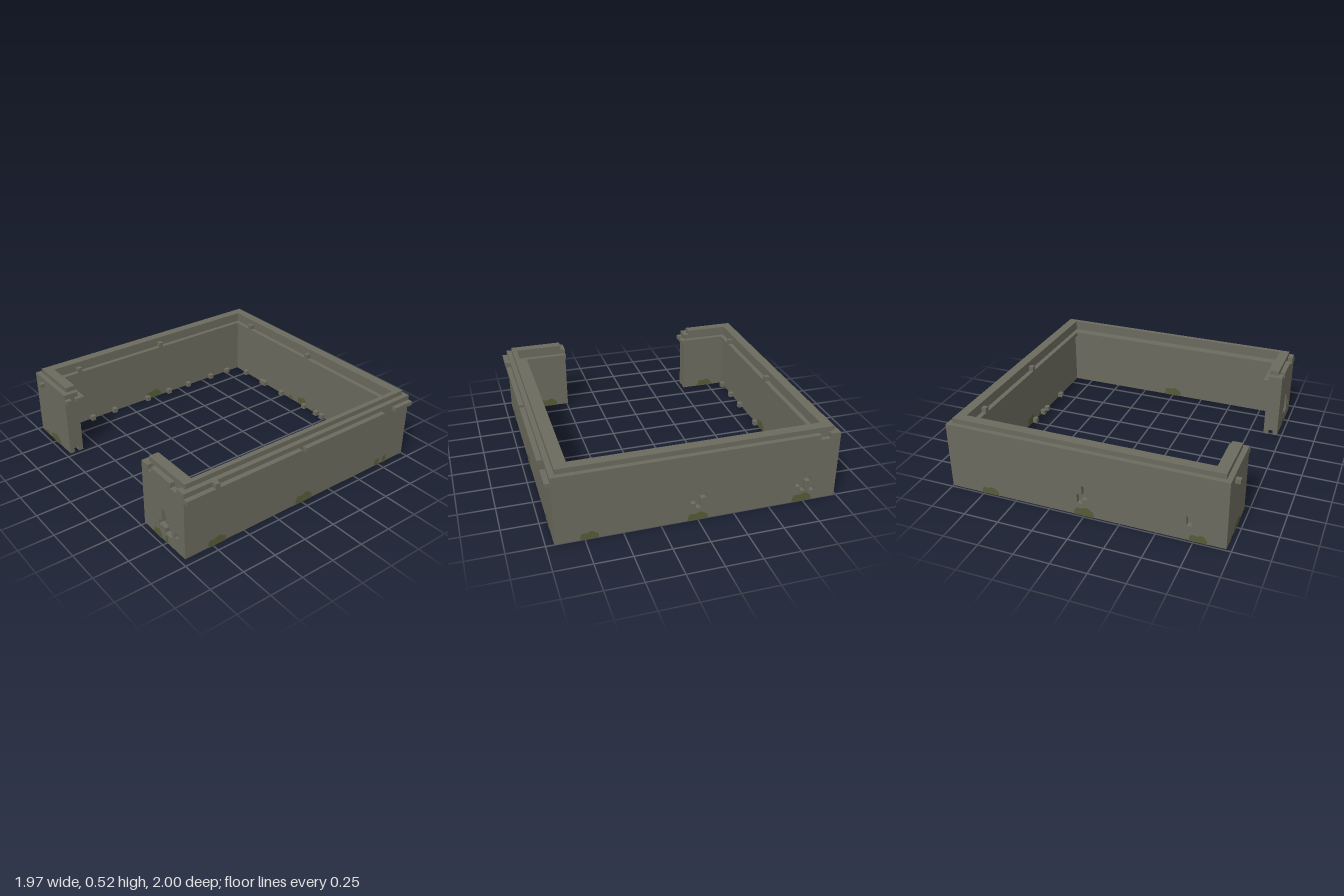
import * as THREE from 'three';

const V = 0.035; // block size
const TOP = 0.49;
const stone = new THREE.MeshStandardMaterial({ color: 0x6b6a5e });
stone.name = 'stone';
const moss = new THREE.MeshStandardMaterial({ color: 0x565c38, side: THREE.DoubleSide });
moss.name = 'moss';

// Each face: turn about y, so local x runs along the wall and local z points outward
const FACES = { front: 0, right: Math.PI / 2, back: Math.PI, left: -Math.PI / 2 };

function onFace(geo, mat, face, plane, name) {
  geo.translate(0, 0, plane);
  geo.rotateY(FACES[face]);
  const mesh = new THREE.Mesh(geo, mat);
  mesh.name = name;
  return mesh;
}

function box(x0, x1, y0, y1, z0, z1, name) {
  const mesh = new THREE.Mesh(new THREE.BoxGeometry(x1 - x0, y1 - y0, z1 - z0), stone);
  mesh.position.set((x0 + x1) / 2, (y0 + y1) / 2, (z0 + z1) / 2);
  mesh.name = name;
  return mesh;
}

// Open ring in plan with a gate gap at the front; o and i are [left, right, back, front]
function band(o, i, gL, gR, y0, y1, name) {
  const pts = [
    [gL, o[3]], [o[0], o[3]], [o[0], o[2]], [o[1], o[2]], [o[1], o[3]], [gR, o[3]],
    [gR, i[3]], [i[1], i[3]], [i[1], i[2]], [i[0], i[2]], [i[0], i[3]], [gL, i[3]],
  ].map(([x, z]) => new THREE.Vector2(x, -z));
  const geo = new THREE.ExtrudeGeometry(new THREE.Shape(pts), { depth: y1 - y0, bevelEnabled: false });
  geo.rotateX(-Math.PI / 2);
  geo.translate(0, y0, 0);
  const mesh = new THREE.Mesh(geo, stone);
  mesh.name = name;
  return mesh;
}

// Outer wall skin, one block thick, with chipped holes and notches in its top edge
function panel(face, u0, u1, plane, holes = [], notches = []) {
  const pts = [[u0, 0], [u1, 0], [u1, TOP]];
  [...notches].reverse().forEach(([a, b]) => pts.push([b, TOP], [b, TOP - V], [a, TOP - V], [a, TOP]));
  pts.push([u0, TOP]);
  const shape = new THREE.Shape(pts.map(p => new THREE.Vector2(...p)));
  holes.forEach(h => shape.holes.push(new THREE.Path(h.map(p => new THREE.Vector2(...p)))));
  const geo = new THREE.ExtrudeGeometry(shape, { depth: V, bevelEnabled: false });
  geo.translate(0, 0, -V);
  return onFace(geo, stone, face, plane, face + 'WallSkin');
}

// Chipped shapes, in block units from a corner
const chip = (u, v, pts) => pts.map(([a, b]) => [u + a * V, v + b * V]);
const CHIP_LARGE = [[0, 1], [0, 2], [1, 2], [1, 5], [2, 5], [2, 4], [3, 4], [3, 2], [4, 2], [4, 0], [2, 0], [2, 1]];
const CHIP_CROSS = [[0, 1], [0, 2], [1, 2], [1, 4], [2, 4], [2, 3], [3, 3], [3, 2], [2, 2], [2, 0], [1, 0], [1, 1]];
const CHIP_SLIM = [[0, 0], [0, 2], [1, 2], [1, 4], [2, 4], [2, 1], [1, 1], [1, 0]];
const CHIP_BAR = [[0, 0], [0, 2], [1, 2], [1, 0]];
const CHIP_ONE = [[0, 0], [0, 1], [1, 1], [1, 0]];

// Rounded, lumpy moss blot rising from the ground
function mossBlot(face, u, plane, w, h) {
  const shape = new THREE.Shape();
  const n = 14;
  shape.moveTo(u - w / 2, 0);
  for (let k = 0; k <= n; k++) {
    const a = Math.PI * (1 - k / n);
    const lump = 0.9 + 0.1 * Math.cos(a * 5 + u * 9);
    shape.lineTo(u + Math.cos(a) * w / 2, h * lump * Math.pow(Math.sin(a), 0.45));
  }
  shape.closePath();
  return onFace(new THREE.ShapeGeometry(shape), moss, face, plane + 0.003, 'mossPatch');
}

export function createModel() {
  const g = new THREE.Group();
  g.name = 'walledEnclosure';

  // Outer skins
  g.add(
    panel('front', -0.985, -0.53, 0.965),
    panel('front', 0.49, 0.945, 0.965,
      [chip(0.665, 0.07, CHIP_LARGE), chip(0.84, 0.105, CHIP_ONE)],
      [[0.56, 0.595], [0.805, 0.875]]),
    panel('right', -0.965, 1, 0.945),
    panel('back', -0.945, 0.985, 1,
      [chip(-0.05, 0.09, CHIP_CROSS), chip(0.69, 0.08, CHIP_CROSS), chip(0.795, 0.07, CHIP_ONE)],
      [[0.845, 0.915]]),
    panel('left', -1, 0.965, 0.985,
      [chip(-0.05, 0.09, CHIP_SLIM), chip(0.7, 0.11, CHIP_BAR)]),
  );

  // Core layers: the middle one is raised to leave a groove underneath
  const a = [-0.95, 0.91, -0.965, 0.93];
  const b = [-0.915, 0.875, -0.93, 0.895];
  const c = [-0.88, 0.84, -0.895, 0.86];
  const d = [-0.845, 0.805, -0.86, 0.825];
  g.add(
    band(a, b, -0.53, 0.49, V, 0.455, 'wallCore'),
    band(b, c, -0.53, 0.49, 0, 0.455, 'innerWall'),
    band(a, [-0.88, 0.875, -0.895, 0.86], -0.565, 0.525, 0.455, 0.525, 'topRidge'),
    band(c, d, -0.495, 0.49, 0.425, 0.455, 'innerMoulding'),
    box(-0.565, -0.53, 0.455, TOP, 0.86, 0.93, 'ridgeEnd'),
    box(0.49, 0.525, 0.455, TOP, 0.86, 0.93, 'ridgeEnd'),
    box(-0.53, -0.495, 0.425, 0.455, 0.86, 0.89, 'gateMoulding'),
    box(-0.53, -0.495, 0.425, 0.455, 0.925, 0.965, 'gateMoulding'),
  );

  // Broken moulding on the outside of the right wall
  [[-1, -0.83], [-0.72, 0.02], [0.055, 0.965]].forEach(([z0, z1]) =>
    g.add(box(0.945, 0.98, 0.425, 0.455, z0, z1, 'outerMoulding')));
  g.add(box(0.945, 0.98, 0.455, TOP, 0.72, 0.755, 'looseBlock'));
  g.add(box(-0.88, -0.845, 0.425, 0.455, 0.965, 1, 'looseBlock'));

  // Loose blocks lying on the inner moulding
  [-0.7, 0].forEach(x => g.add(box(x, x + V, 0.455, TOP, -0.895, -0.86, 'looseBlock')));
  [-0.09, 0.65].forEach(z => g.add(box(-0.88, -0.845, 0.455, TOP, z, z + V, 'looseBlock')));

  // Rubble along the inner foot of the back and left walls
  [[-0.53, 2], [-0.28, 1], [0, 1], [0.14, 1], [0.205, 1], [0.46, 1], [-0.75, 1]].forEach(([x, n]) =>
    g.add(box(x, x + n * V, 0, V, -0.895, -0.86, 'rubble')));
  [0.77, 0.57, 0.37, 0.05, -0.16, -0.36, -0.6, -0.78].forEach(z =>
    g.add(box(-0.88, -0.845, 0, V, z, z + V, 'rubble')));

  // Moss: face, position along it, plane, width, height
  [
    ['front', -0.89, 0.965, 0.06, 0.035], ['front', -0.745, 0.965, 0.15, 0.07],
    ['front', 0.655, 0.965, 0.09, 0.065], ['front', 0.75, 0.965, 0.035, 0.065],
    ['right', -0.72, 0.945, 0.14, 0.065], ['right', 0.015, 0.945, 0.15, 0.075],
    ['right', 0.73, 0.945, 0.05, 0.065], ['right', 0.805, 0.945, 0.04, 0.065],
    ['back', -0.72, 1, 0.12, 0.06], ['back', 0, 1, 0.14, 0.06], ['back', 0.74, 1, 0.14, 0.065],
    ['left', -0.7, 0.985, 0.13, 0.06], ['left', 0, 0.985, 0.14, 0.07], ['left', 0.78, 0.985, 0.12, 0.06],
    ['front', -0.16, -0.895, 0.05, 0.035], ['front', -0.02, -0.895, 0.11, 0.075],
    ['front', 0.12, -0.895, 0.03, 0.035],
    ['right', 0, -0.88, 0.14, 0.07], ['left', 0, -0.84, 0.14, 0.07],
    ['back', -0.65, -0.86, 0.14, 0.065], ['back', 0.72, -0.86, 0.12, 0.06],
  ].forEach(m => g.add(mossBlot(...m)));

  return g;
}
